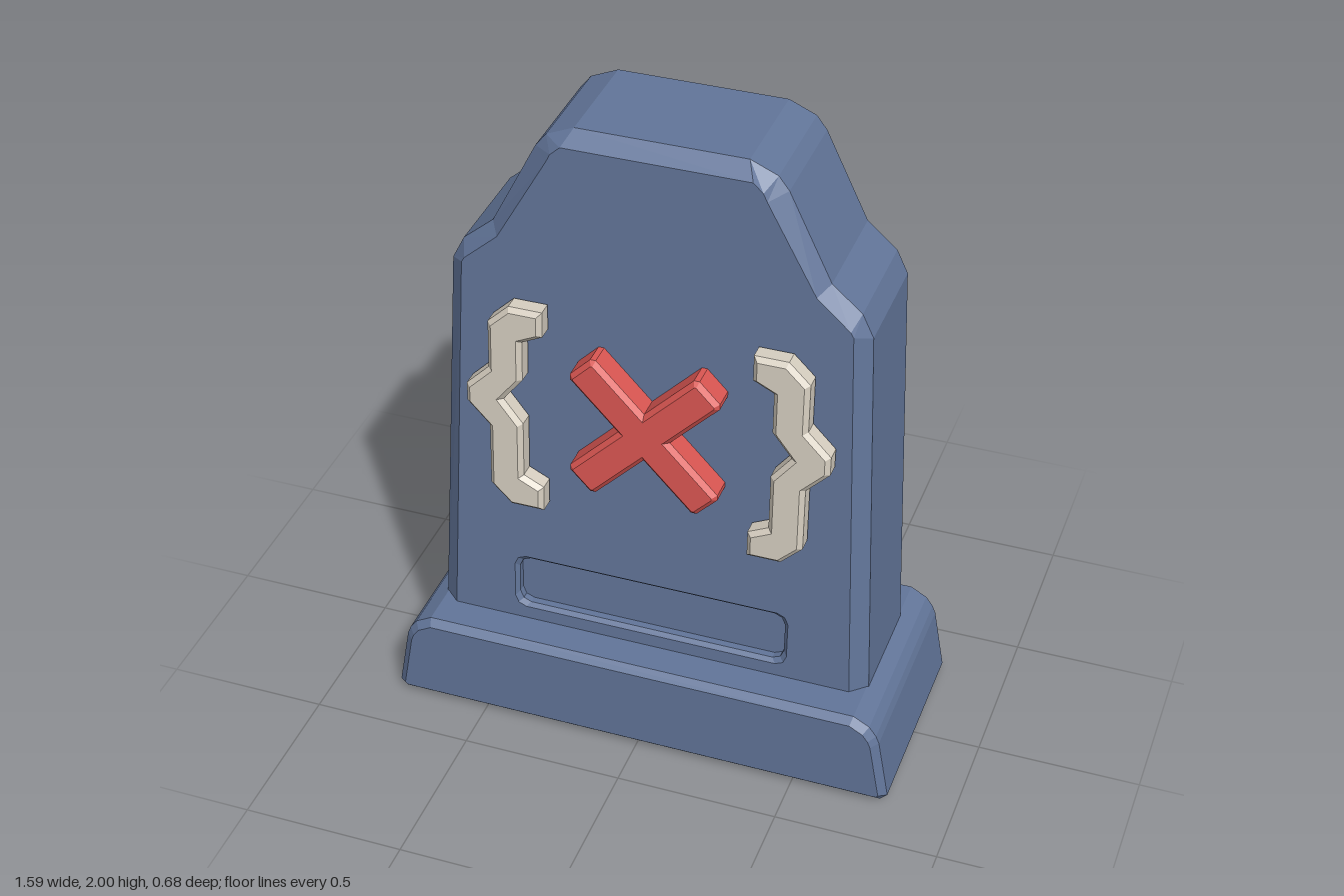
import * as THREE from 'three';

const LEAN = -0.047; // z shift per unit of height, measured from the plinth top
const stone = new THREE.MeshStandardMaterial({ color: 0x627599 });
const red = new THREE.MeshStandardMaterial({ color: 0xda5652 });
const cream = new THREE.MeshStandardMaterial({ color: 0xd6cec0 });
stone.name = 'blue stone';
red.name = 'red';
cream.name = 'cream';

// Right half of an outline (bottom to top) closed with its mirror, counter-clockwise
const mirrored = (half) => [...half, ...half.map(([x, y]) => [-x, y]).reverse()];

// Tapered rectangle with clipped corners, for the sunken panels
function panel(bottomHalf, topHalf, y0, y1, clip, inset) {
  const b = bottomHalf - inset, t = topHalf - inset, lo = y0 + inset, hi = y1 - inset;
  const k = clip * 0.3;
  return mirrored([
    [b - clip, lo], [b - k, lo + k], [b, lo + clip],
    [t, hi - clip], [t - k, hi - k], [t - clip, hi],
  ]);
}

const lean = (geometry) => geometry
  .applyMatrix4(new THREE.Matrix4().makeShear(0, 0, 0, LEAN, 0, 0))
  .translate(0, 0, -LEAN * 0.3);

// Extruded outline with chamfered edges, from z0 to z1
function prism(points, z0, z1, bevel) {
  const shape = new THREE.Shape(points.map(([x, y]) => new THREE.Vector2(x, y)));
  return new THREE.ExtrudeGeometry(shape, {
    depth: z1 - z0 - 2 * bevel, bevelThickness: bevel, bevelSize: bevel,
    bevelOffset: -bevel, bevelSegments: 1, curveSegments: 1,
  }).translate(0, 0, z0 + bevel);
}

// Upright slab with chamfered rim and a sunken panel on each face
function slabGeometry() {
  const pos = [];
  const tri = (...pts) => pts.forEach((p) => pos.push(...p));
  const at = (loop, z) => loop.map(([x, y]) => [x, y, z]);
  const band = (a, b) => a.forEach((p, i) => {
    const n = (i + 1) % a.length;
    tri(p, b[i], b[n]);
    tri(p, b[n], a[n]);
  });
  const cap = (loop, hole, back) => {
    const v2 = (l) => l.map(([x, y]) => new THREE.Vector2(x, y));
    const all = [...loop, ...hole];
    const faces = THREE.ShapeUtils.triangulateShape(v2(loop), hole.length ? [v2(hole)] : []);
    for (const [a, b, c] of faces) {
      const p = all[a], q = all[b], r = all[c];
      const ccw = (q[0] - p[0]) * (r[1] - p[1]) - (q[1] - p[1]) * (r[0] - p[0]) > 0;
      if (ccw !== back) tri(p, q, r);
      else tri(p, r, q);
    }
  };

  const outer = mirrored([[0.687, 0.25], [0.63, 1.515], [0.595, 1.585], [0.503, 1.662],
    [0.37, 1.925], [0.338, 1.965], [0.255, 2]]);
  const inner = mirrored([[0.638, 0.25], [0.585, 1.533], [0.576, 1.548], [0.474, 1.637],
    [0.322, 1.905], [0.31, 1.93], [0.28, 1.957]]);
  const front = at(inner, 0.22), back = at(inner, -0.22);
  const rimFront = at(outer, 0.175), rimBack = at(outer, -0.175);
  band(front, rimFront);
  band(rimFront, rimBack);
  band(rimBack, back);

  // Small name panel on the front
  const plate = (inset, z) => at(panel(0.437, 0.437, 0.345, 0.535, 0.035, inset), z);
  const f = [plate(0, 0.22), plate(0.012, 0.208), plate(0.012, 0.185)];
  cap(front, f[0], false);
  band(f[1], f[0]);
  band(f[2], f[1]);
  cap(f[2], [], false);

  // Large panel on the back
  const large = (inset, z) => at(panel(0.4, 0.37, 0.61, 1.46, 0.085, inset), z);
  const b = [large(0, -0.22), large(0.018, -0.202), large(0.018, -0.175)];
  cap(back, b[0], true);
  band(b[0], b[1]);
  band(b[1], b[2]);
  cap(b[2], [], true);

  const g = new THREE.BufferGeometry();
  g.setAttribute('position', new THREE.Float32BufferAttribute(pos, 3));
  lean(g).computeVertexNormals();
  return g;
}

export function createModel() {
  const model = new THREE.Group();
  model.name = 'gravestone';
  const add = (name, geometry, material) => {
    const mesh = new THREE.Mesh(geometry, material);
    mesh.name = name;
    model.add(mesh);
  };

  // Plinth with sloping ends
  const plinth = mirrored([[0.775, 0], [0.797, 0.022], [0.762, 0.22], [0.752, 0.245],
    [0.73, 0.275], [0.68, 0.303]]);
  add('plinth', prism(plinth, -0.342, 0.342, 0.022), stone);
  add('slab', slabGeometry(), stone);

  // Cross: two diagonal arms as one outline
  const w = 0.056, l = 0.277, c = 0.012, s = Math.SQRT1_2;
  const cross = [];
  for (let i = 0; i < 4; i++) {
    const a = Math.PI / 4 + i * Math.PI / 2, ca = Math.cos(a), sa = Math.sin(a);
    for (const [u, v] of [[w, -w], [l - c, -w], [l, -w + c], [l, w - c], [l - c, w]]) {
      cross.push([u * ca - v * sa, 1.112 + u * sa + v * ca]);
    }
  }
  add('cross', lean(prism(cross, 0.2, 0.302, 0.014)), red);

  // Curly brackets on either side of the cross
  const bracket = [[0.317, 0.768], [0.42, 0.768], [0.485, 0.83], [0.485, 1.035],
    [0.555, 1.105], [0.555, 1.165], [0.485, 1.235], [0.485, 1.39], [0.42, 1.452],
    [0.317, 1.452], [0.317, 1.37], [0.38, 1.34], [0.38, 1.21], [0.44, 1.135],
    [0.38, 1.06], [0.38, 0.88], [0.317, 0.85]];
  const flipped = bracket.map(([x, y]) => [-x, y]).reverse();
  add('leftBracket', lean(prism(bracket, 0.215, 0.288, 0.014)), cream);
  add('rightBracket', lean(prism(flipped, 0.215, 0.288, 0.014)), cream);

  return model;
}
